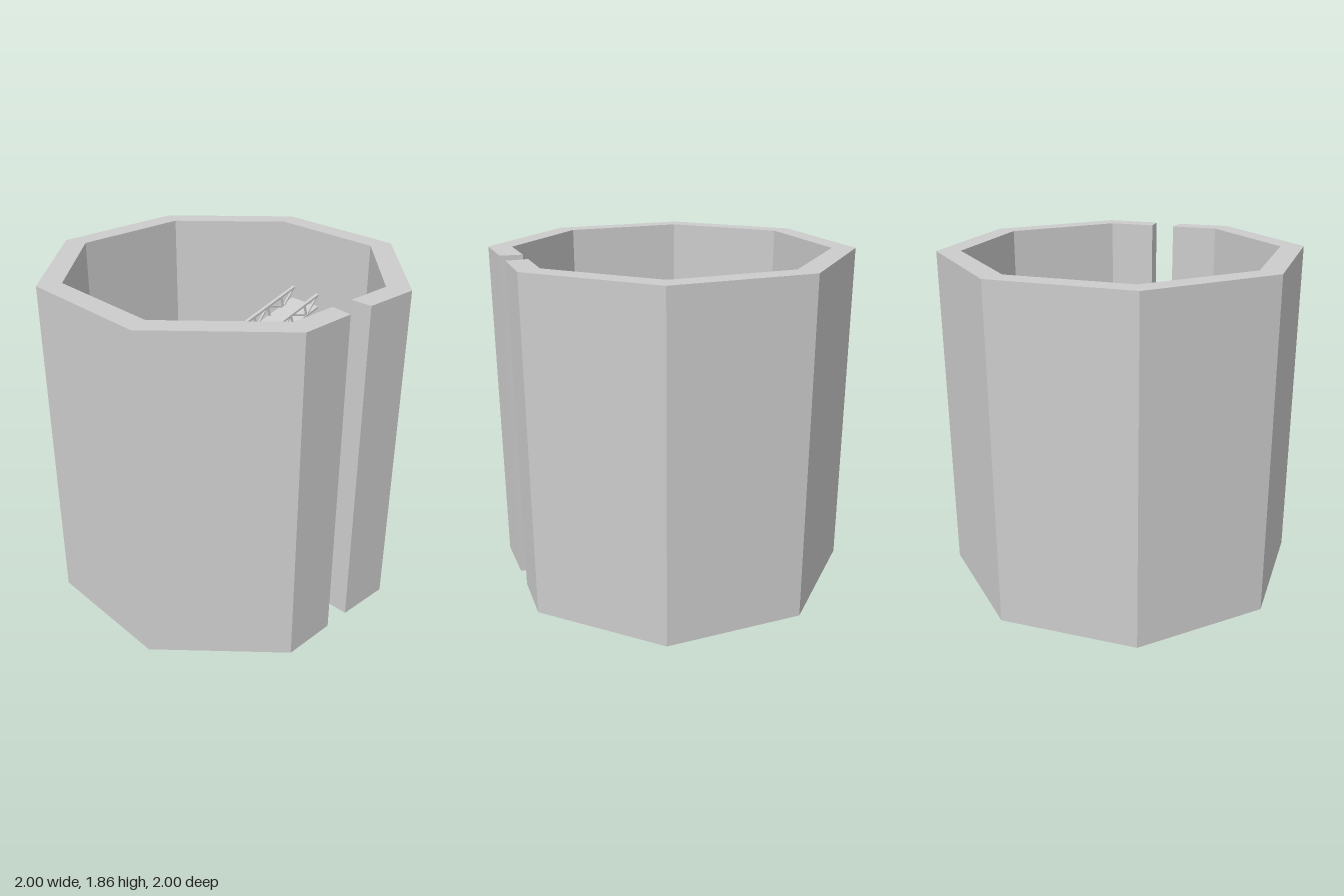
import * as THREE from 'three';

const HEIGHT = 1.86, OUTER = 1, INNER = 0.87;
const EIGHTH = Math.PI / 4;
const APOTHEM = INNER * Math.cos(EIGHTH / 2);
const mat = new THREE.MeshStandardMaterial({ color: 0xcccccc, flatShading: true, side: THREE.DoubleSide });
const smooth = new THREE.MeshStandardMaterial({ color: 0xcccccc, side: THREE.DoubleSide });

function box(parent, name, w, h, d, x, y, z, rz = 0) {
  const mesh = new THREE.Mesh(new THREE.BoxGeometry(w, h, d), mat);
  mesh.name = name;
  mesh.position.set(x, y, z);
  mesh.rotation.z = rz;
  parent.add(mesh);
  return mesh;
}

// Octagonal wall, interrupted by a full-height slot at the front
function createWall() {
  const ring = (r) => Array.from({ length: 9 }, (_, i) => {
    const a = Math.PI / 2 - i * EIGHTH; // plan angle, measured from +x towards +z
    return new THREE.Vector2(r * Math.cos(a), -r * Math.sin(a));
  });
  const start = 1, end = 8; // the slot lies between corners 0 and 1
  const outer = ring(OUTER), inner = ring(INNER);
  const v = (x, z) => new THREE.Vector2(x, -z);
  const outline = [
    v(0.42, 0.82), ...outer.slice(start, end + 1), v(0.28, 0.88),
    v(0.245, 0.765), ...inner.slice(start, end + 1).reverse(), v(0.37, 0.715),
  ];
  const geo = new THREE.ExtrudeGeometry(new THREE.Shape(outline), { depth: HEIGHT, bevelEnabled: false });
  geo.rotateX(-Math.PI / 2);
  const wall = new THREE.Mesh(geo, mat);
  wall.name = 'octagonalWall';
  wall.position.y = 0.005;
  return wall;
}

// Sloping bridge with a lattice rail along each side
function createBridge() {
  const bridge = new THREE.Group();
  bridge.name = 'bridge';
  const length = 1.7, h = 0.09, bays = 14, bay = length / bays;
  box(bridge, 'deck', length, 0.014, 0.19, 0, -h / 2 + 0.007, 0);
  for (const z of [-0.097, 0.097]) {
    const rail = new THREE.Group();
    rail.name = 'latticeRail';
    for (const y of [-h / 2 + 0.007, h / 2 - 0.007]) box(rail, 'chord', length, 0.014, 0.02, 0, y, z);
    for (let i = 0; i < bays; i++) {
      const x = -length / 2 + (i + 0.5) * bay;
      const tilt = Math.atan2(h - 0.014, bay);
      box(rail, 'diagonal', Math.hypot(bay, h - 0.014), 0.009, 0.012, x, 0, z, i % 2 ? tilt : -tilt);
      box(rail, 'upright', 0.009, h - 0.014, 0.012, x - bay / 2, 0, z);
    }
    bridge.add(rail);
  }
  const n = -0.135, a = EIGHTH / 2;
  bridge.position.set(n * Math.sin(a), 1.2, n * Math.cos(a));
  bridge.rotation.set(0, a, Math.atan(0.29));
  return bridge;
}

// Small balcony on the inner wall; the curved kind has a hollowed floor
function createBalcony({ x, y, z, wall, width, curved }) {
  const balcony = new THREE.Group();
  balcony.name = 'balcony';
  const a = THREE.MathUtils.degToRad(wall);
  const turn = Math.atan2(-Math.cos(a), -Math.sin(a));
  const along = x * Math.cos(turn) - z * Math.sin(turn);
  balcony.position.set(APOTHEM * Math.cos(a) + along * Math.cos(turn), y, APOTHEM * Math.sin(a) - along * Math.sin(turn));
  balcony.rotation.y = turn;

  const depth = 0.1, rail = 0.1, t = 0.014;
  box(balcony, 'floor', width, 0.02, depth, 0, 0.01, depth / 2);
  for (const ry of [0.03, rail]) {
    box(balcony, 'frontRail', width, t, t, 0, ry, depth - t / 2);
    for (const s of [-1, 1]) box(balcony, 'sideRail', t, t, depth, s * (width - t) / 2, ry, depth / 2);
  }
  const posts = Math.round(width / 0.1) + 1;
  for (let i = 0; i < posts; i++) {
    box(balcony, 'post', t, rail, t, (i / (posts - 1) - 0.5) * (width - t), rail / 2, depth - t / 2);
  }
  if (curved) {
    const geo = new THREE.PlaneGeometry(width - 2 * t, depth - t, 16, 1);
    geo.rotateX(-Math.PI / 2);
    const p = geo.attributes.position;
    for (let i = 0; i < p.count; i++) p.setY(i, 0.022 + 0.04 * (2 * p.getX(i) / width) ** 2);
    geo.computeVertexNormals();
    const basin = new THREE.Mesh(geo, smooth);
    basin.name = 'curvedFloor';
    basin.position.z = (depth - t) / 2;
    balcony.add(basin);
  }
  return balcony;
}

export function createModel() {
  const model = new THREE.Group();
  model.name = 'octagonalTower';
  model.add(createWall(), createBridge());
  const balconies = [
    { x: -0.41, y: 0.8, z: -0.65, wall: -112.5, width: 0.21 },
    { x: -0.64, y: 0.5, z: -0.41, wall: -157.5, width: 0.21 },
    { x: -0.74, y: 0.17, z: -0.17, wall: -157.5, width: 0.21, curved: true },
    { x: 0.67, y: 0.6, z: 0.345, wall: 22.5, width: 0.35, curved: true },
    { x: -0.285, y: 0.78, z: 0.69, wall: 112.5, width: 0.22 },
  ];
  for (const b of balconies) model.add(createBalcony(b));
  return model;
}
